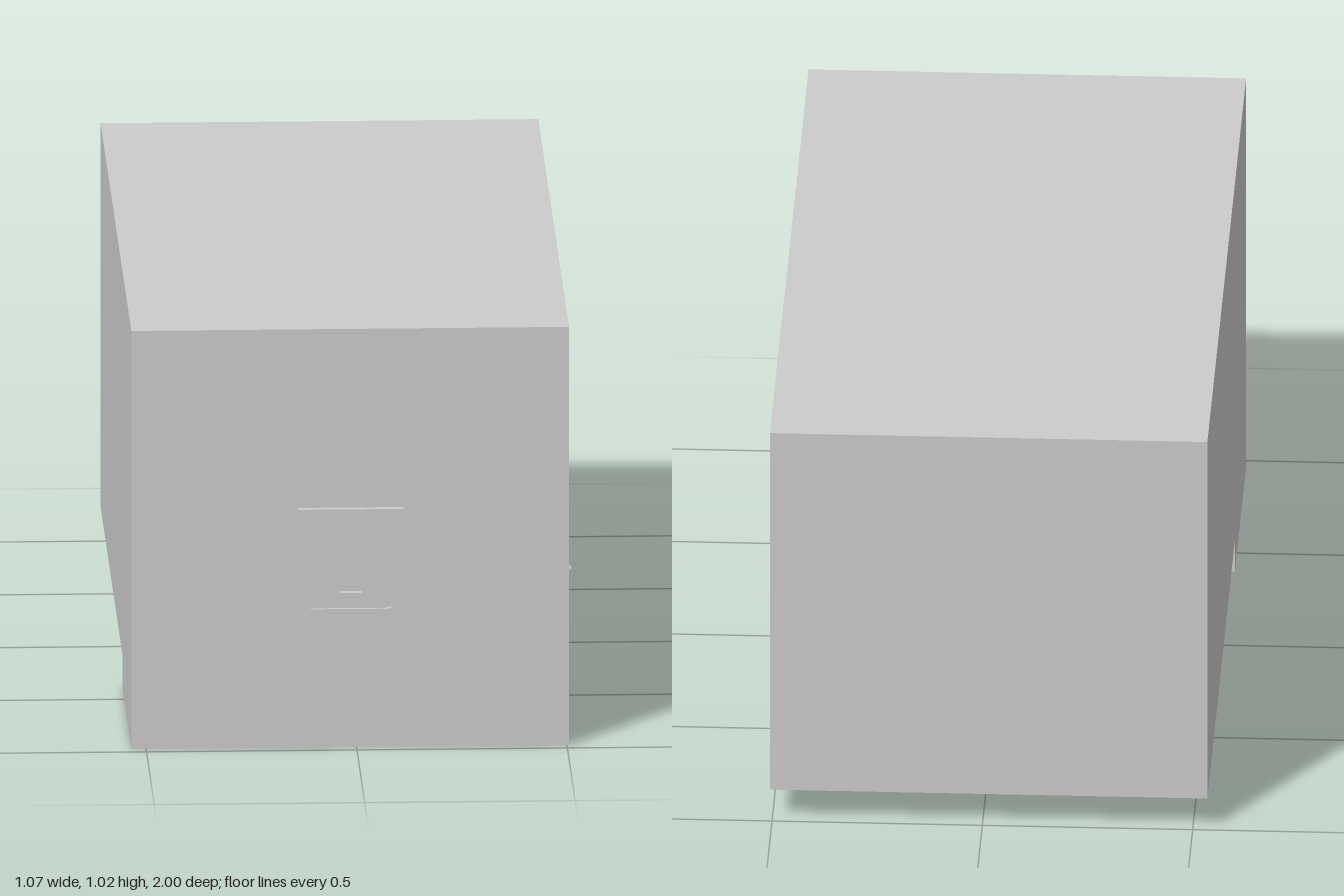
import * as THREE from 'three';

const mat = new THREE.MeshStandardMaterial({ color: 0xcccccc, side: THREE.DoubleSide, flatShading: true });

// Room extents
const X0 = -0.535, X1 = 0.505, Z0 = -1, Z1 = 0.97, TOP = 1.025, FLOOR = 0.083, EDGE = 0.4;

function add(parent, name, geometry) {
  const mesh = new THREE.Mesh(geometry, mat);
  mesh.name = name;
  parent.add(mesh);
  return mesh;
}

// Box given by its two extreme corners
function box(parent, name, x0, x1, y0, y1, z0, z1) {
  const mesh = add(parent, name, new THREE.BoxGeometry(x1 - x0, y1 - y0, z1 - z0));
  mesh.position.set((x0 + x1) / 2, (y0 + y1) / 2, (z0 + z1) / 2);
  return mesh;
}

function rectangle(Type, x0, x1, y0, y1) {
  return new Type([[x0, y0], [x1, y0], [x1, y1], [x0, y1]].map(p => new THREE.Vector2(...p)));
}

// Thin walls and ceiling, open underneath
function createShell() {
  const shell = new THREE.Group();
  shell.name = 'roomShell';
  const w = X1 - X0, d = Z1 - Z0, h = TOP - FLOOR;
  const cx = (X0 + X1) / 2, cz = (Z0 + Z1) / 2, cy = (TOP + FLOOR) / 2;
  const panels = [
    ['frontWall', w, h, [cx, cy, Z1], [0, 0, 0]],
    ['backWall', w, h, [cx, cy, Z0], [0, Math.PI, 0]],
    ['leftWall', d, h, [X1, cy, cz], [0, Math.PI / 2, 0]],
    ['rightWall', d, h, [X0, cy, cz], [0, -Math.PI / 2, 0]],
    ['ceiling', w, d, [cx, TOP, cz], [-Math.PI / 2, 0, 0]],
  ];
  for (const [name, width, height, position, rotation] of panels) {
    const panel = add(shell, name, new THREE.PlaneGeometry(width, height));
    panel.position.set(...position);
    panel.rotation.set(...rotation);
  }
  return shell;
}

// Door slab with a window opening, and a lever handle
function createDoor() {
  const door = new THREE.Group();
  door.name = 'door';
  const shape = rectangle(THREE.Shape, -0.138, 0.112, FLOOR, 0.587);
  shape.holes.push(rectangle(THREE.Path, -0.04, 0.014, 0.382, 0.53));
  const slab = add(door, 'doorSlab', new THREE.ExtrudeGeometry(shape, { depth: 0.018, bevelEnabled: false }));
  slab.position.z = Z1;
  box(door, 'handleBar', -0.109, 0.067, 0.324, 0.345, 0.988, 0.997);
  const knob = new THREE.Shape([[0.064, 0.325], [0.082, 0.319], [0.082, 0.349], [0.064, 0.343]]
    .map(p => new THREE.Vector2(...p)));
  const end = add(door, 'handleEnd', new THREE.ExtrudeGeometry(knob, { depth: 0.012, bevelEnabled: false }));
  end.position.z = 0.988;
  return door;
}

// Railing along the platform edge, with short returns at its free end
function createRailing() {
  const railing = new THREE.Group();
  railing.name = 'railing';
  const z = 0.438, endX = -0.07, endZ = 0.38;
  for (const x of [endX, 0.2, 0.47]) {
    box(railing, 'railPost', x - 0.007, x + 0.007, FLOOR, 0.293, z - 0.007, z + 0.007);
  }
  const bars = [[0.14, 0.004, 0.003, 0.522], [0.181, 0.004, 0.003, 0.522],
    [0.223, 0.004, 0.003, 0.522], [0.296, 0.01, 0.003, 0.53]];
  for (const [y, r, t, x1] of bars) {
    const name = r > 0.005 ? 'handrail' : 'railBar';
    box(railing, name, endX - r, x1, y - t, y + t, z - r, z + r);
    box(railing, name + 'Return', endX - r, endX + r, y - t, y + t, endZ, z - r);
  }
  return railing;
}

export function createModel() {
  const model = new THREE.Group();
  model.name = 'roomWithPlatform';
  model.add(createShell(), createDoor(), createRailing());
  box(model, 'platform', X0, X1, 0, FLOOR, EDGE, Z1);
  return model;
}
